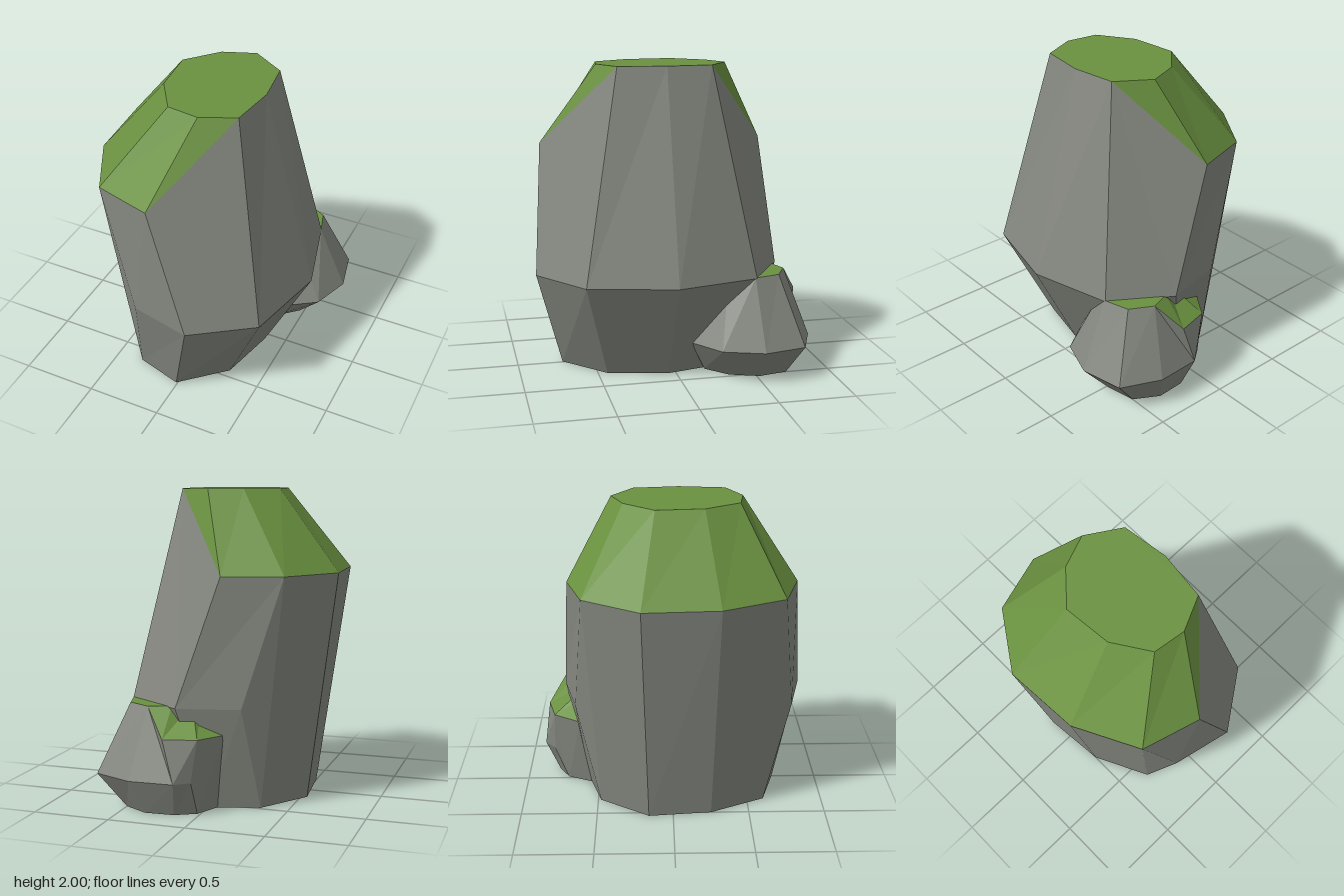
import * as THREE from 'three';

const stone = new THREE.MeshStandardMaterial({ color: 0x858880 });
stone.name = 'grey stone';
const moss = new THREE.MeshStandardMaterial({ color: 0x6a9140 });
moss.name = 'green moss';

// Faces shared by both rocks: ring letter (t top, r shoulder, m belly, b base) + column 0-8
const MOSS_FACES = [
  't8 t7 t6 t5 t4 t3 t2 t1 t0',
  't1 t2 r2', 't2 t3 r3 r2', 't3 t4 r4 r3', 't4 t5 r5 r4',
  't5 t6 r6 r5', 't6 t7 r7 r6', 't7 t8 r7',
];
const STONE_FACES = [
  // upper slabs on the leaning side
  't0 t1 m1 m0', 't8 t0 m0 m8', 't1 r2 m2 m1', 't8 m8 m7 r7',
  // front and back
  'r2 r3 m3 m2', 'r6 r7 m7 m6', 'r3 b3 m3', 'r6 m6 b6',
  // long flat slabs on the mossy side
  'r3 r4 b4 b3', 'r4 r5 b5 b4', 'r5 r6 b6 b5',
  // lower slabs and underside
  'm0 m1 b1 b0', 'm1 m2 b2 b1', 'm2 m3 b3 b2',
  'm6 m7 b7 b6', 'm7 m8 b8 b7', 'm8 m0 b0 b8',
  'b0 b1 b2 b3 b4 b5 b6 b7 b8',
];

// Turns the face names into flat facets
function facets(name, rings, faces, material) {
  const pos = [];
  const corner = (key) => {
    const ring = rings[key[0]];
    const [x, z] = ring.points[key[1]];
    return [x, ring.y, z];
  };
  for (const face of faces) {
    const c = face.split(' ').map(corner);
    for (let i = 1; i < c.length - 1; i++) pos.push(...c[0], ...c[i], ...c[i + 1]);
  }
  const geo = new THREE.BufferGeometry();
  geo.setAttribute('position', new THREE.Float32BufferAttribute(pos, 3));
  geo.computeVertexNormals();
  const mesh = new THREE.Mesh(geo, material);
  mesh.name = name;
  return mesh;
}

function rock(name, rings) {
  const group = new THREE.Group();
  group.name = name;
  group.add(
    facets(name + 'Stone', rings, STONE_FACES, stone),
    facets(name + 'Moss', rings, MOSS_FACES, moss),
  );
  return group;
}

export function createModel() {
  const model = new THREE.Group();
  model.name = 'mossyRocks';

  // Tall leaning rock; each ring lists [x, z] per column
  model.add(rock('tallRock', {
    t: { y: 2, points: [[0.32, 0.05], [0.28, 0.36], [0.06, 0.46], [-0.15, 0.43], [-0.30, 0.20],
      [-0.33, -0.11], [-0.15, -0.31], [0.06, -0.39], [0.28, -0.25]] },
    r: { y: 1.48, points: [[0.46, 0.05], [0.38, 0.46], [-0.12, 0.81], [-0.50, 0.70], [-0.71, 0.29],
      [-0.74, -0.20], [-0.49, -0.57], [-0.12, -0.68], [0.38, -0.34]] },
    m: { y: 0.66, points: [[0.68, 0.05], [0.55, 0.61], [0.16, 0.88], [-0.24, 0.79], [-0.59, 0.27],
      [-0.63, -0.18], [-0.24, -0.64], [0.16, -0.73], [0.54, -0.49]] },
    b: { y: 0, points: [[0.36, 0.05], [0.27, 0.44], [-0.01, 0.70], [-0.32, 0.61], [-0.50, 0.25],
      [-0.54, -0.16], [-0.32, -0.48], [-0.01, -0.57], [0.27, -0.35]] },
  }));

  // Small rock tucked against the back left
  model.add(rock('smallRock', {
    t: { y: 0.665, points: [[0.49, -0.65], [0.54, -0.48], [0.42, -0.36], [0.27, -0.30], [0.15, -0.36],
      [0.08, -0.47], [0.10, -0.58], [0.20, -0.68], [0.34, -0.73]] },
    r: { y: 0.49, points: [[0.55, -0.69], [0.60, -0.49], [0.50, -0.30], [0.22, -0.25], [-0.05, -0.38],
      [-0.13, -0.62], [-0.01, -0.80], [0.20, -0.85], [0.37, -0.78]] },
    m: { y: 0.22, points: [[0.67, -0.78], [0.73, -0.50], [0.64, -0.24], [0.42, -0.09], [0.05, -0.32],
      [-0.08, -0.58], [0.03, -0.81], [0.12, -0.88], [0.41, -0.89]] },
    b: { y: 0, points: [[0.50, -0.71], [0.54, -0.52], [0.47, -0.33], [0.33, -0.20], [0.08, -0.33],
      [-0.06, -0.55], [0.02, -0.72], [0.15, -0.79], [0.34, -0.80]] },
  }));

  return model;
}
